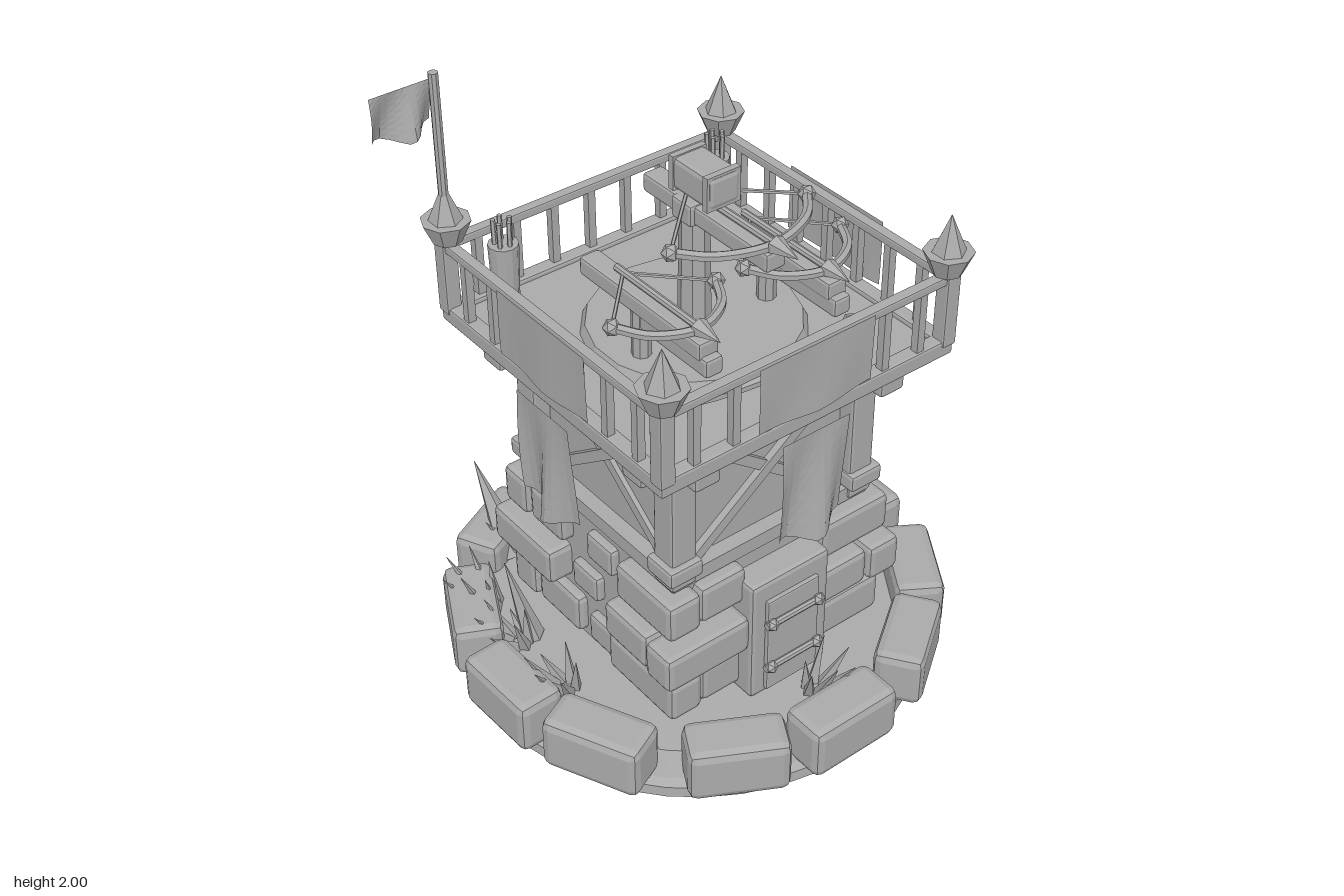
import * as THREE from 'three';
import { RoundedBoxGeometry } from 'three/addons/geometries/RoundedBoxGeometry.js';

const stone = new THREE.MeshStandardMaterial({ color: 0xaaaaaa, flatShading: true, side: THREE.DoubleSide });
stone.name = 'plain grey';

const V = (x, y, z) => new THREE.Vector3(x, y, z);

function add(parent, name, geo, x = 0, y = 0, z = 0) {
  const m = new THREE.Mesh(geo, stone);
  m.name = name;
  m.position.set(x, y, z);
  parent.add(m);
  return m;
}
function box(parent, name, w, h, d, x, y, z, r = 0) {
  const geo = r ? new RoundedBoxGeometry(w, h, d, 1, r) : new THREE.BoxGeometry(w, h, d);
  return add(parent, name, geo, x, y, z);
}
function group(parent, name, turn = 0) {
  const g = new THREE.Group();
  g.name = name;
  g.rotation.y = turn;
  parent.add(g);
  return g;
}
// straight rod between two points
function rod(parent, name, a, b, r0, r1 = r0, sides = 8) {
  const m = add(parent, name, new THREE.CylinderGeometry(r1, r0, a.distanceTo(b), sides));
  m.position.copy(a).add(b).multiplyScalar(0.5);
  m.quaternion.setFromUnitVectors(V(0, 1, 0), b.clone().sub(a).normalize());
  return m;
}
// hanging cloth with a ragged lower edge, facing +z
function cloth(parent, name, w, h, top, z, tip, wave) {
  const geo = new THREE.PlaneGeometry(w, h, 10, 8);
  const p = geo.attributes.position;
  for (let i = 0; i < p.count; i++) {
    const u = p.getX(i) / (w / 2), t = 0.5 - p.getY(i) / h;
    p.setY(i, -t * (h - tip * Math.abs(u)));
    p.setZ(i, wave * t * Math.sin(u * 4 + t));
  }
  geo.computeVertexNormals();
  return add(parent, name, geo, 0, top, z);
}

// bow, stock, bolt and string, pointing to +z
function crossbow(parent, x, y, span, zEnd, zFront, tip) {
  const g = group(parent, 'crossbow');
  g.position.set(x, y, 0);
  box(g, 'stock', 0.07, 0.06, 0.55, 0, -0.045, 0.08, 0.01);
  const pts = [[-1, zEnd], [-0.65, zFront - 0.05], [0, zFront], [0.65, zFront - 0.05], [1, zEnd]];
  const curve = new THREE.CatmullRomCurve3(pts.map(([u, z]) => V(u * span, 0, z)));
  add(g, 'bowArm', new THREE.TubeGeometry(curve, 20, 0.015, 6));
  for (const s of [-1, 1]) {
    add(g, 'bowKnob', new THREE.IcosahedronGeometry(0.027, 0), s * span, 0, zEnd);
    rod(g, 'string', V(s * span, 0, zEnd), V(0, 0, -0.03), 0.006, 0.006, 5);
  }
  rod(g, 'boltShaft', V(0, 0.005, -0.06), V(0, 0.005, tip - 0.07), 0.012);
  rod(g, 'boltHead', V(0, 0.005, tip - 0.09), V(0, 0.005, tip), 0.03, 0.001, 6);
}

function grass(parent, x, z, size, lean, seed) {
  const g = group(parent, 'grassTuft');
  g.position.set(x, 0.14, z);
  for (let i = 0; i < 6; i++) {
    const a = seed + i * 1.05, h = size * (0.6 + 0.4 * Math.abs(Math.sin(seed * 3 + i * 2)));
    const foot = V(Math.cos(a) * 0.03, 0, Math.sin(a) * 0.03);
    rod(g, 'blade', foot, V(foot.x * 2.6 + x * lean, h, foot.z * 2.6 + z * lean), 0.022, 0.001, 4);
  }
}

export function createModel() {
  const model = new THREE.Group();
  model.name = 'watchtower';

  // round base with ring of boulders
  const base = group(model, 'base');
  const profile = [[0, 0], [0.72, 0], [0.738, 0.015], [0.735, 0.05], [0.71, 0.065], [0.67, 0.14], [0, 0.145]];
  add(base, 'baseDisc', new THREE.LatheGeometry(profile.map(([x, y]) => new THREE.Vector2(x, y)), 40));
  for (let i = 0; i < 12; i++) {
    const holder = group(base, 'ringStone', i * Math.PI / 6 + 0.03 * Math.sin(i * 2.4));
    const b = box(holder, 'boulder', 0.325 - 0.015 * (i % 2), 0.185, 0.16, 0, 0.155, 0.71, 0.028);
    b.rotation.y = 0.06 * Math.sin(i * 1.7);
  }

  // stone lower storey
  const lower = group(model, 'stoneStorey');
  box(lower, 'stoneCore', 0.74, 0.52, 0.74, 0, 0.39, 0);
  const rows = [[0.235, 0.14, 0.415, 0.32], [0.405, 0.13, 0.455, 0.31], [0.57, 0.135, 0.425, 0.27]];
  for (let s = 0; s < 4; s++) {
    const side = group(lower, 'stoneSide', s * Math.PI / 2);
    rows.forEach(([y, h, out, len], r) => {
      const d = 0.12, flip = r % 2 ? -1 : 1;
      box(side, 'cornerBrick', len, h, d, flip * (out - len / 2), y, out - d / 2, 0.02);
      box(side, 'brick', len - 0.1, h, d, -flip * (out - d - 0.005 - (len - 0.1) / 2), y, out - d / 2 - 0.01, 0.02);
      if (s) box(side, 'smallBrick', 0.13, h * 0.75, 0.05, 0.04 * flip, y, 0.375, 0.015);
    });
  }

  // door
  const door = group(model, 'door');
  box(door, 'doorFrame', 0.3, 0.45, 0.12, 0, 0.365, 0.405, 0.015);
  box(door, 'doorPanel', 0.2, 0.36, 0.02, 0, 0.34, 0.47, 0.006);
  for (const y of [0.26, 0.435]) {
    rod(door, 'doorBar', V(-0.11, y, 0.485), V(0.11, y, 0.485), 0.012);
    for (const x of [-0.09, 0.09]) add(door, 'barKnob', new THREE.IcosahedronGeometry(0.022, 0), x, y, 0.487);
  }

  // timber upper storey
  const timber = group(model, 'timberStorey');
  box(timber, 'timberWalls', 0.65, 0.54, 0.65, 0, 0.91, 0);
  for (let s = 0; s < 4; s++) {
    const side = group(timber, 'timberSide', s * Math.PI / 2);
    box(side, 'cornerPost', 0.09, 0.52, 0.09, 0.338, 0.91, 0.338, 0.01);
    box(side, 'postFoot', 0.12, 0.06, 0.12, 0.345, 0.72, 0.345, 0.012);
    box(side, 'sill', 0.74, 0.05, 0.06, 0, 0.668, 0.345);
    box(side, 'postHead', 0.13, 0.08, 0.13, 0.345, 1.13, 0.345, 0.012);
    box(side, 'floorBeam', 0.98, 0.075, 0.09, 0, 1.135, 0.34, 0.01);
    for (const d of [-1, 1]) {
      const brace = box(side, 'brace', 0.74, 0.035, 0.025, 0, 0.905, 0.332 + d * 0.004);
      brace.rotation.z = d * 0.65;
    }
  }

  // ladder on the left side
  const ladder = group(model, 'ladder');
  for (const z of [-0.085, 0.085]) rod(ladder, 'ladderRail', V(0.49, 0.14, z), V(0.425, 1.18, z), 0.016, 0.016, 6);
  for (let i = 0; i < 9; i++) {
    const t = (i + 0.7) / 9.4;
    rod(ladder, 'rung', V(0.49 - 0.065 * t, 0.14 + 1.04 * t, -0.1), V(0.49 - 0.065 * t, 0.14 + 1.04 * t, 0.1), 0.011, 0.011, 6);
  }

  // platform and railing
  const deck = group(model, 'platform');
  box(deck, 'floor', 1.02, 0.04, 1.02, 0, 1.2, 0);
  for (let s = 0; s < 4; s++) {
    const side = group(deck, 'railing', s * Math.PI / 2);
    box(side, 'floorEdge', 1.06, 0.055, 0.05, 0, 1.208, 0.505, 0.008);
    box(side, 'topRail', 1.04, 0.03, 0.035, 0, 1.445, 0.51, 0.006);
    box(side, 'railPost', 0.05, 0.25, 0.05, 0.51, 1.34, 0.51, 0.006);
    for (let i = 0; i < 7; i++) box(side, 'baluster', 0.026, 0.21, 0.026, -0.405 + i * 0.135, 1.33, 0.51);
    add(side, 'finialCup', new THREE.CylinderGeometry(0.075, 0.045, 0.07, 8), 0.505, 1.495, 0.505);
    add(side, 'finialSpike', new THREE.ConeGeometry(0.055, 0.13, 6), 0.505, 1.585, 0.505);
    // cloths on every side but the back
    if (s !== 2) {
      cloth(side, 'railCloth', 0.41, 0.23, 1.46, 0.538, 0.012, 0.006);
      cloth(side, 'banner', 0.245, 0.39, 1.165, 0.545, 0.035, 0.03);
    }
  }

  // flag on the back corner
  const flag = group(model, 'flag');
  rod(flag, 'flagPole', V(-0.505, 1.55, -0.505), V(-0.505, 2, -0.505), 0.015);
  const banner = cloth(flag, 'flagCloth', 0.2, 0.16, 1.985, -0.505, 0.02, 0.035);
  banner.position.x = -0.61;

  // quivers in the back corners
  for (const x of [-0.39, 0.39]) {
    const quiver = group(model, 'quiver');
    quiver.position.set(x, 0, -0.39);
    add(quiver, 'quiverBody', new THREE.CylinderGeometry(0.046, 0.038, 0.24, 12), 0, 1.34, 0);
    for (let i = 0; i < 5; i++) {
      const a = i * 1.257;
      rod(quiver, 'spareBolt', V(0.022 * Math.cos(a), 1.3, 0.022 * Math.sin(a)), V(0.026 * Math.cos(a), 1.54, 0.026 * Math.sin(a)), 0.008, 0.008, 5);
    }
  }

  // turntable with crossbows
  const weapons = group(model, 'weapons');
  add(weapons, 'turntable', new THREE.CylinderGeometry(0.32, 0.335, 0.03, 18), 0, 1.235, 0);
  add(weapons, 'mainPost', new THREE.CylinderGeometry(0.045, 0.05, 0.38, 8), 0, 1.43, 0);
  crossbow(weapons, 0, 1.67, 0.24, 0.2, 0.34, 0.44);
  box(weapons, 'stockCollar', 0.1, 0.07, 0.09, 0, 1.625, 0, 0.01);
  box(weapons, 'magazine', 0.11, 0.1, 0.18, 0, 1.74, 0.045, 0.015);
  for (const z of [-0.03, 0.12]) box(weapons, 'magazineBand', 0.118, 0.108, 0.02, 0, 1.74, z);
  for (const x of [-0.23, 0.23]) {
    crossbow(weapons, x, 1.48, 0.18, 0.16, 0.31, 0.4);
    rod(weapons, 'sidePost', V(x, 1.24, 0.05), V(x, 1.42, 0.05), 0.03);
    box(weapons, 'sideCradle', 0.06, 0.06, 0.3, x, 1.39, 0.23, 0.01);
  }
  // lower bow
  const low = new THREE.QuadraticBezierCurve3(V(-0.31, 1.275, 0.33), V(0, 1.275, 0.44), V(0.31, 1.275, 0.33));
  add(weapons, 'lowerBow', new THREE.TubeGeometry(low, 14, 0.016, 6));
  for (const x of [-0.31, 0.31]) add(weapons, 'lowerKnob', new THREE.IcosahedronGeometry(0.028, 0), x, 1.275, 0.33);

  // grass and thorns
  const plants = group(model, 'plants');
  [[0.56, 0.08], [0.57, -0.06], [0.53, -0.36], [0.2, -0.55], [0, -0.55], [-0.54, -0.38],
    [-0.56, -0.18], [-0.56, 0.07], [0.04, 0.55], [-0.3, -0.52]]
    .forEach(([x, z], i) => grass(plants, x, z, 0.15 + 0.02 * (i % 3), 0.1, i * 1.3));
  [[0.47, 0.56, -0.1, -0.23], [-0.51, -0.57, -0.18, -0.22]].forEach(([x0, x1, z0, z1]) =>
    rod(plants, 'thorn', V(x0, 0.14, z0), V(x1, 0.45, z1), 0.04, 0.001, 5));
  rod(plants, 'thorn', V(-0.34, 0.14, -0.54), V(-0.37, 0.45, -0.69), 0.06, 0.001, 5);
  rod(plants, 'thorn', V(0, 0.14, -0.53), V(0, 0.32, -0.69), 0.05, 0.001, 5);
  return model;
}
